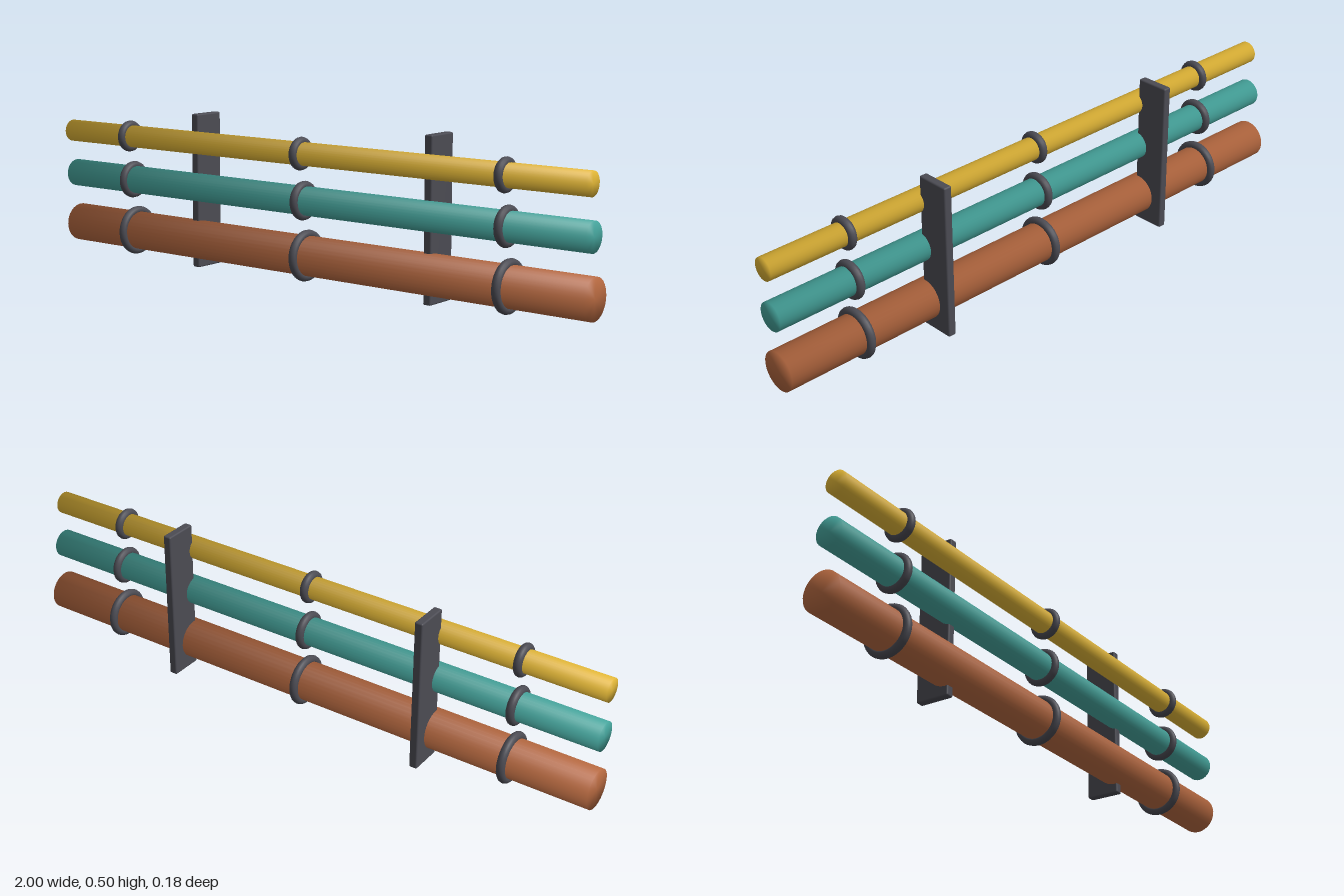
import * as THREE from 'three';
import { RoundedBoxGeometry } from 'three/addons/geometries/RoundedBoxGeometry.js';

function material(name, color) {
  const m = new THREE.MeshStandardMaterial({ color });
  m.name = name;
  return m;
}

// Closed pipe along x, with shading that runs softly over the end rims
function pipeGeometry(radius) {
  const profile = [[0, -1], [radius, -1], [radius, 1], [0, 1]].map(([r, y]) => new THREE.Vector2(r, y));
  const geometry = new THREE.LatheGeometry(profile, 32);
  const { position, normal } = geometry.attributes;
  const n = new THREE.Vector3();
  for (let i = 0; i < position.count; i++) {
    n.set(position.getX(i) / radius, Math.sign(position.getY(i)), position.getZ(i) / radius).normalize();
    normal.setXYZ(i, n.x, n.y, n.z);
  }
  return geometry.rotateZ(-Math.PI / 2);
}

export function createModel() {
  const model = new THREE.Group();
  model.name = 'wallPipes';
  const metal = material('dark metal', 0x4b4b53);

  const add = (parent, name, geometry, mat, x, y, z) => {
    const mesh = new THREE.Mesh(geometry, mat);
    mesh.name = name;
    mesh.position.set(x, y, z);
    parent.add(mesh);
  };

  // Three pipes, each with three clamp rings
  const pipes = [
    { name: 'lowerPipe', mat: material('rust', 0xb3673f), r: 0.0625, ring: 0.067, y: 0.092, z: 0.01 },
    { name: 'middlePipe', mat: material('teal', 0x45a39b), r: 0.045, ring: 0.0475, y: 0.265, z: 0.024 },
    { name: 'upperPipe', mat: material('yellow', 0xdfb436), r: 0.036, ring: 0.038, y: 0.411, z: 0.038 },
  ];
  for (const p of pipes) {
    const group = new THREE.Group();
    group.name = p.name + 'Assembly';
    group.position.set(0, p.y, p.z);
    add(group, p.name, pipeGeometry(p.r), p.mat, 0, 0, 0);
    const ring = new THREE.TorusGeometry(p.ring, 0.0135, 12, 36).rotateY(Math.PI / 2);
    for (const x of [-0.728, 0, 0.728]) add(group, 'clampRing', ring, metal, x, 0, 0);
    model.add(group);
  }

  // Upright brackets behind the pipes
  const bracket = new RoundedBoxGeometry(0.027, 0.5, 0.109, 2, 0.005);
  for (const side of [-1, 1]) {
    add(model, side > 0 ? 'leftBracket' : 'rightBracket', bracket, metal, side * 0.455, 0.25, -0.0355);
  }
  return model;
}
